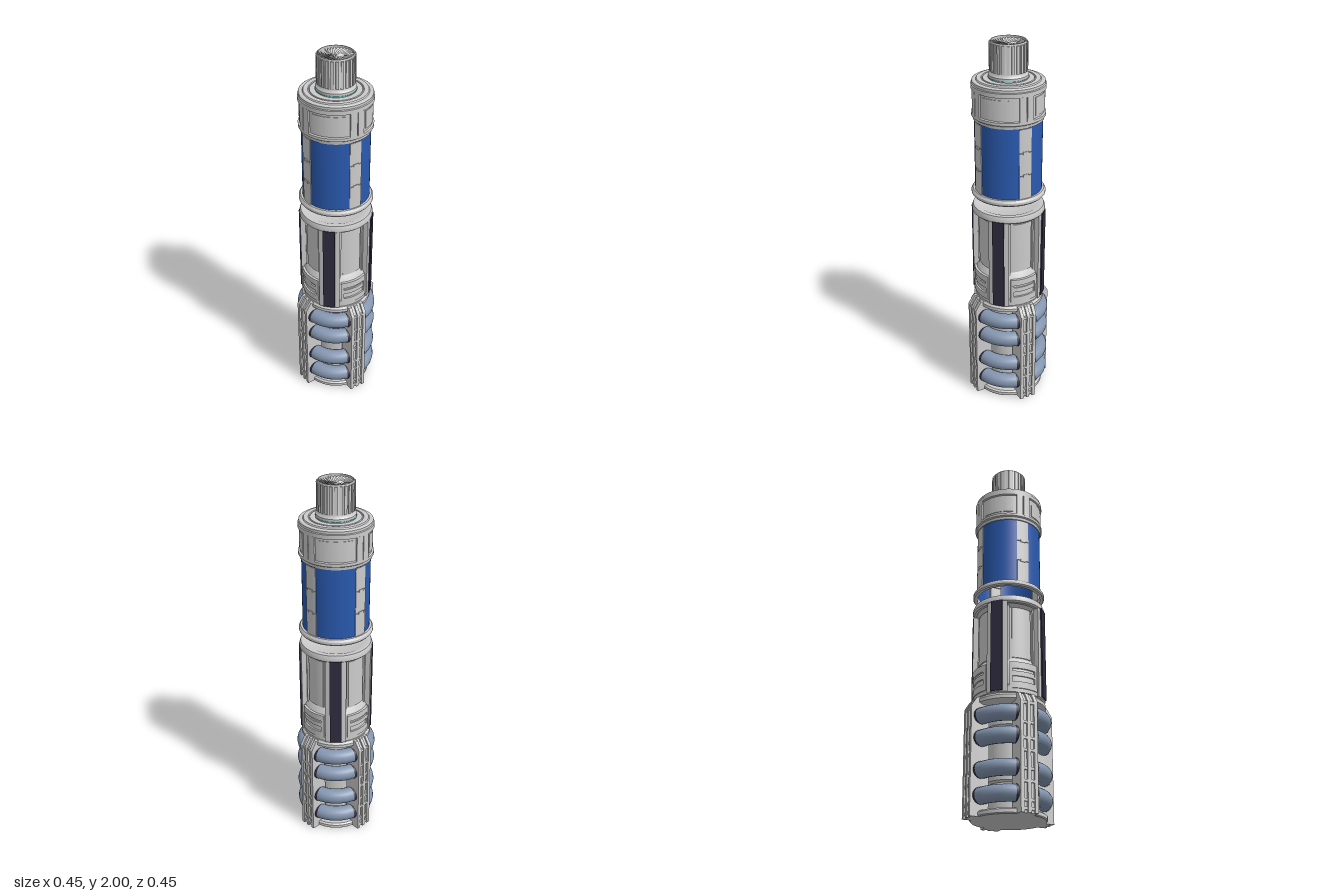
import * as THREE from 'three';
import { toCreasedNormals } from 'three/addons/utils/BufferGeometryUtils.js';

const mat = (color, extra = {}) => new THREE.MeshStandardMaterial({ color, ...extra });
const D = Math.PI / 180;

export function createModel() {
  const root = new THREE.Group();
  const grey = mat(0xcccccc);
  const greyOpen = mat(0xcccccc, { side: THREE.DoubleSide, flatShading: true });
  const blue = mat(0x2a5ab0, { side: THREE.DoubleSide });
  const steel = mat(0x8496b0);
  const dark = mat(0x302c40);
  const cyan = mat(0x40d8d8);

  const add = (name, geo, material = grey, parent = root) => {
    const mesh = new THREE.Mesh(geo, material);
    mesh.name = name;
    parent.add(mesh);
    return mesh;
  };

  // Turned part from [radius, height] pairs listed bottom to top along the outside
  const turned = (name, pts, material = grey) => add(name, toCreasedNormals(
    new THREE.LatheGeometry(pts.map(p => new THREE.Vector2(...p)), 64), 0.5), material);

  // Block between two radii, two angles (degrees) and two heights
  const sector = (r0, r1, a0, a1, y0, y1) => {
    const s = new THREE.Shape();
    s.absarc(0, 0, r1, a0 * D, a1 * D, false);
    s.absarc(0, 0, r0, a1 * D, a0 * D, true);
    s.closePath();
    const g = new THREE.ExtrudeGeometry(s, { depth: y1 - y0, bevelEnabled: false, curveSegments: 10 });
    g.rotateX(-Math.PI / 2).translate(0, y0, 0);
    return toCreasedNormals(g, 0.5);
  };

  // Four groups, a quarter turn apart; local +x is the outward direction
  const quarters = (name, build) => {
    for (let k = 0; k < 4; k++) {
      const g = new THREE.Group();
      g.name = name;
      g.rotation.y = k * Math.PI / 2;
      build(g);
      root.add(g);
    }
  };
  const box = (name, w, h, d, x, y, z, material, parent) =>
    add(name, new THREE.BoxGeometry(w, h, d).translate(x, y, z), material, parent);

  // Grip: base plate, core and upper collar
  turned('basePlate', [[0, 0], [0.185, 0], [0.19, 0.005], [0.19, 0.022], [0.18, 0.03], [0, 0.03]]);
  turned('gripCore', [[0.115, 0.03], [0.115, 0.14], [0.105, 0.15], [0.105, 0.17], [0.115, 0.18],
    [0.115, 0.43], [0.105, 0.44], [0.105, 0.45], [0.115, 0.46], [0.115, 0.57]]);
  turned('gripCollar', [[0, 0.56], [0.17, 0.56], [0.19, 0.57], [0.19, 0.588], [0.18, 0.6], [0, 0.6]]);

  // Grip fins: chamfered core plate with two side rails and rungs
  const finPart = (r, depth, z) => {
    const s = new THREE.Shape([[0.13, 0], [r, 0], [r, 0.55], [r - 0.03, 0.597], [0.13, 0.597]]
      .map(p => new THREE.Vector2(...p)));
    return new THREE.ExtrudeGeometry(s, { depth, bevelEnabled: false }).translate(0, 0, z - depth / 2);
  };
  quarters('gripFin', g => {
    add('finPlate', finPart(0.214, 0.07, 0), grey, g);
    for (const z of [-0.037, 0, 0.037]) add('finRail', finPart(0.226, 0.018, z), grey, g);
    for (const y of [0.02, 0.06, 0.15, 0.21, 0.3, 0.36, 0.44, 0.54])
      box('finRung', 0.02, 0.014, 0.08, 0.213, y, 0, grey, g);
  });

  // Grip tubes with dark end sockets
  const arc = (r, a0, a1, seg) => new THREE.TorusGeometry(0.175, r, 16, seg, (a1 - a0) * D)
    .rotateZ(a0 * D).rotateX(Math.PI / 2);
  quarters('gripTubes', g => {
    for (const y of [0.1, 0.225, 0.385, 0.5]) {
      add('tube', arc(0.042, 13, 77, 24).translate(0, y, 0), steel, g);
      add('tubeSocket', arc(0.0435, 12, 16, 2).translate(0, y, 0), dark, g);
      add('tubeSocket', arc(0.0435, 74, 78, 2).translate(0, y, 0), dark, g);
    }
  });

  // Lower body: drum, sloped sill, inner wall and top rim
  turned('lowerDrum', [[0.17, 0.6], [0.18, 0.605], [0.18, 0.64], [0.176, 0.645], [0.176, 0.755],
    [0.172, 0.765], [0.152, 0.795], [0.152, 1.1]]);
  turned('topRim', [[0.152, 1.085], [0.17, 1.1], [0.183, 1.1], [0.191, 1.108], [0.191, 1.125],
    [0.185, 1.14], [0.16, 1.14], [0.14, 1.13], [0, 1.13]]);
  quarters('bodySide', g => {
    // Pillar with dark strip, standing on the diagonal
    add('pillar', sector(0.14, 0.189, 28, 62, 0.605, 1.105), grey, g);
    const strip = box('darkStrip', 0.014, 0.5, 0.062, 0.187, 0.86, 0, dark, g);
    strip.rotation.y = 45 * D;
    // Panel framed inside the recess
    for (const a of [-28, 24]) add('recessFrame', sector(0.145, 0.162, a, a + 4, 0.77, 1.1), grey, g);
    add('recessPanel', sector(0.145, 0.157, -20, 20, 0.8, 1.08), grey, g);
    // Drum badge plate with a slot
    for (const y of [0.625, 0.73]) add('drumBand', sector(0.16, 0.185, -25, 25, y, y + 0.035), grey, g);
    for (const a of [-25, 20]) add('drumBand', sector(0.16, 0.185, a, a + 5, 0.66, 0.73), grey, g);
    add('drumBar', sector(0.16, 0.183, -20, 20, 0.69, 0.716), grey, g);
  });

  // Upper body: ring, blue tube and grey straps
  turned('lowerRing', [[0.17, 1.2], [0.186, 1.2], [0.192, 1.207], [0.192, 1.22], [0.184, 1.232], [0.17, 1.232], [0.17, 1.2]]);
  add('blueTube', new THREE.CylinderGeometry(0.173, 0.173, 0.41, 64, 1, true).translate(0, 1.41, 0), blue);
  quarters('strap', g => {
    [[1.23, 1.357], [1.361, 1.478], [1.482, 1.605], ].forEach(([y0, y1]) =>
      add('strapPlate', sector(0.165, 0.177, -11, 11, y0, y1), grey, g));
    for (const y of [1.359, 1.48]) box('strapClip', 0.01, 0.014, 0.03, 0.175, y, 0, grey, g);
  });

  // Head collar with framed panels
  turned('headCollar', [[0.165, 1.61], [0.178, 1.61], [0.18, 1.625], [0.187, 1.63], [0.187, 1.645], [0.178, 1.648],
    [0.178, 1.765], [0.187, 1.768], [0.187, 1.79], [0.182, 1.793], [0.182, 1.806], [0.176, 1.81], [0.162, 1.81],
    [0.158, 1.816], [0.135, 1.816], [0.133, 1.811], [0.129, 1.811], [0.127, 1.816], [0, 1.816]]);
  quarters('headFrame', g => {
    add('divider', sector(0.17, 0.187, -12, -0.7, 1.64, 1.77), grey, g);
    add('divider', sector(0.17, 0.187, 0.7, 12, 1.64, 1.77), grey, g);
    add('headPanel', sector(0.17, 0.181, 18, 72, 1.66, 1.755), grey, g);
  });
  add('glowRing', new THREE.TorusGeometry(0.1015, 0.0012, 6, 64).rotateX(Math.PI / 2).translate(0, 1.822, 0), cyan);

  // Fluted knob with an open top
  turned('knob', [[0.1, 1.81], [0.1, 1.835], [0.094, 1.842], [0.09, 1.85], [0.09, 1.99], [0.087, 2],
    [0.083, 2], [0.083, 1.955], [0, 1.955]]);
  const ribs = new THREE.Group();
  ribs.name = 'knobRibs';
  for (let i = 0; i < 24; i++) {
    const rib = box('rib', 0.008, 0.138, 0.014, 0.0915, 1.923, 0, grey, ribs);
    rib.rotation.y = i * 15 * D;
  }
  root.add(ribs);

  // Swirling fan of tilted blades in the knob
  const pos = [], blades = 30, step = 360 / blades, rows = 4;
  const point = (i, j, low) => {
    const t = j / rows, a = (i * step + low * step * 1.2 + 35 * t) * D, r = 0.012 + 0.071 * t;
    return [r * Math.cos(a), 1.992 - low * 0.026 * (0.3 + 0.7 * t) - 0.012 * (1 - t), r * Math.sin(a)];
  };
  for (let i = 0; i < blades; i++) for (let j = 0; j < rows; j++) {
    const a = point(i, j, 0), b = point(i, j + 1, 0), c = point(i, j + 1, 1), d = point(i, j, 1);
    pos.push(...a, ...c, ...b, ...a, ...d, ...c);
  }
  const fan = new THREE.BufferGeometry();
  fan.setAttribute('position', new THREE.Float32BufferAttribute(pos, 3));
  fan.computeVertexNormals();
  add('fanBlades', fan, greyOpen);
  add('fanHub', new THREE.ConeGeometry(0.014, 0.03, 20).translate(0, 1.975, 0));

  return root;
}
